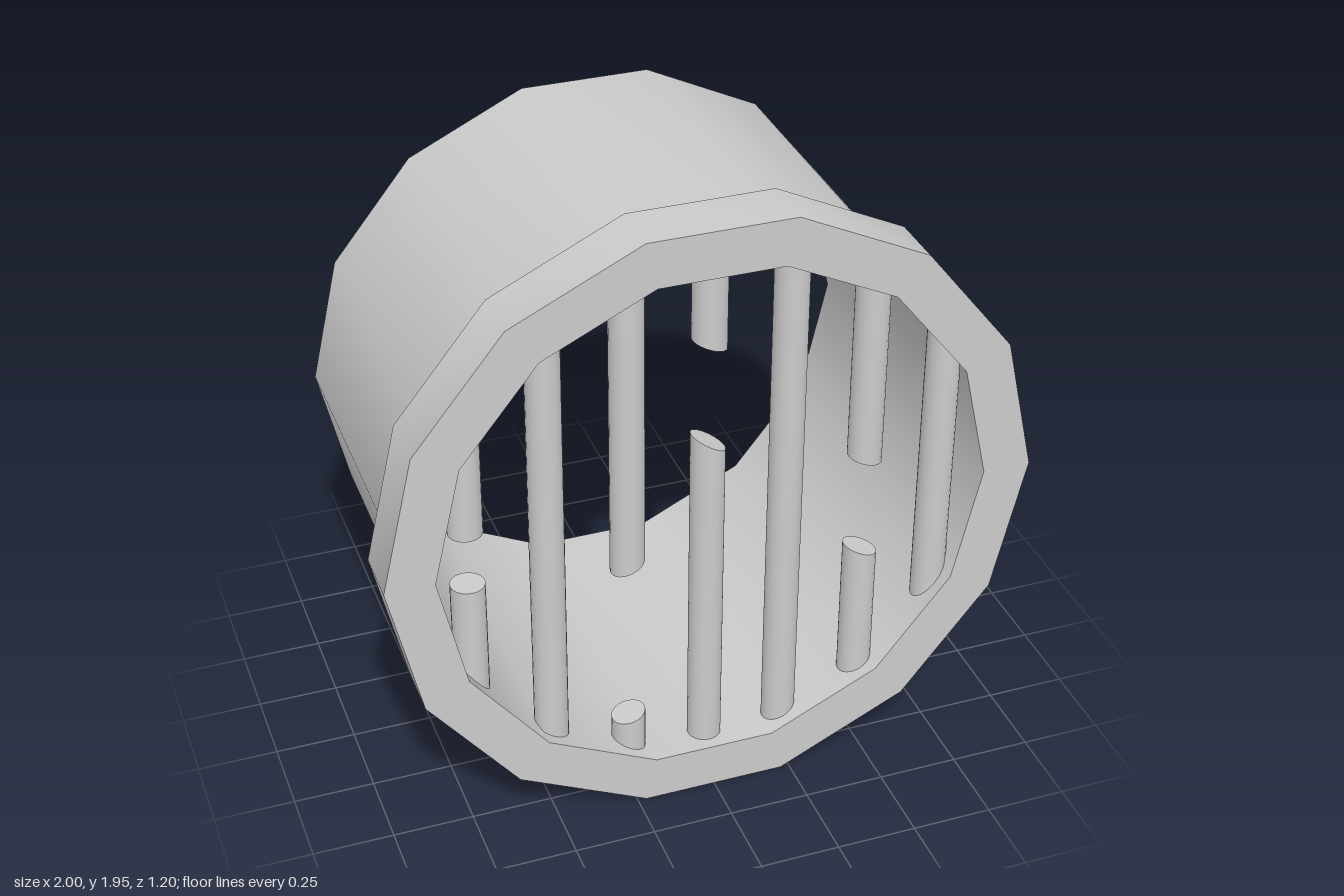
import * as THREE from 'three';
import { toCreasedNormals } from 'three/addons/utils/BufferGeometryUtils.js';

const SIDES = 14;
const CENTER_Y = Math.cos(Math.PI / SIDES);
const BAR_RADIUS = 0.052;
const BAR_Z = 0.51;

// Height above the centre of a 14-sided ring of radius r at a given x
function ringHeight(r, x) {
  const step = (2 * Math.PI) / SIDES;
  for (let i = 0; i < SIDES / 2; i++) {
    const x0 = r * Math.cos(i * step), x1 = r * Math.cos((i + 1) * step);
    if (x <= x0 && x >= x1) {
      const t = (x0 - x) / (x0 - x1);
      return r * THREE.MathUtils.lerp(Math.sin(i * step), Math.sin((i + 1) * step), t);
    }
  }
  return 0;
}

// Upright round bar; each end is [height at its left edge, height at its right edge]
function barGeometry(bottom, top) {
  const geo = new THREE.CylinderGeometry(BAR_RADIUS, BAR_RADIUS, 1, 24);
  const pos = geo.attributes.position;
  for (let i = 0; i < pos.count; i++) {
    const [a, b] = pos.getY(i) > 0 ? top : bottom;
    pos.setY(i, THREE.MathUtils.lerp(a, b, (pos.getX(i) / BAR_RADIUS + 1) / 2));
  }
  return toCreasedNormals(geo, 0.6);
}

export function createModel() {
  const group = new THREE.Group();
  const material = new THREE.MeshStandardMaterial({ color: 0xcccccc });

  // Pipe with a wider flange at the front, as one closed profile (radius, z)
  const profile = [
    [0.85, -0.6], [0.915, -0.6], [0.915, 0.42], [1, 0.42],
    [1, 0.6], [0.85, 0.6], [0.85, -0.6],
  ].map(([r, z]) => new THREE.Vector2(r, z));
  const lathe = new THREE.LatheGeometry(profile, SIDES, Math.PI / 2);
  lathe.rotateX(Math.PI / 2);
  const pipe = new THREE.Mesh(toCreasedNormals(lathe, 0.7), material);
  pipe.name = 'flangedPipe';
  pipe.position.y = CENTER_Y;
  group.add(pipe);

  // Grate bars; a broken bar lists the top of its stump and the bottom of its hanging piece
  const bars = [
    { x: -0.735, stump: [0.89, 0.89], hanging: [1.07, 1.07] },
    { x: -0.495 },
    { x: -0.25, stump: [0.27, 0.295], hanging: [0.82, 0.86] },
    { x: -0.003, stump: [1.25, 1.19], hanging: [1.565, 1.53] },
    { x: 0.243 },
    { x: 0.495, stump: [0.745, 0.71], hanging: [1.065, 1.04] },
    { x: 0.732 },
  ];
  const grate = new THREE.Group();
  grate.name = 'grate';
  const addBar = (name, x, bottom, top) => {
    const bar = new THREE.Mesh(barGeometry(bottom, top), material);
    bar.name = name;
    bar.position.set(x, 0, BAR_Z);
    grate.add(bar);
  };
  for (const { x, stump, hanging } of bars) {
    // Whole ends are sunk into the middle of the flange wall
    const h = ringHeight(0.92, x);
    const floor = [CENTER_Y - h, CENTER_Y - h];
    const ceiling = [CENTER_Y + h, CENTER_Y + h];
    if (stump) {
      addBar('brokenBarLower', x, floor, stump);
      addBar('brokenBarUpper', x, hanging, ceiling);
    } else {
      addBar('bar', x, floor, ceiling);
    }
  }
  group.add(grate);
  return group;
}
